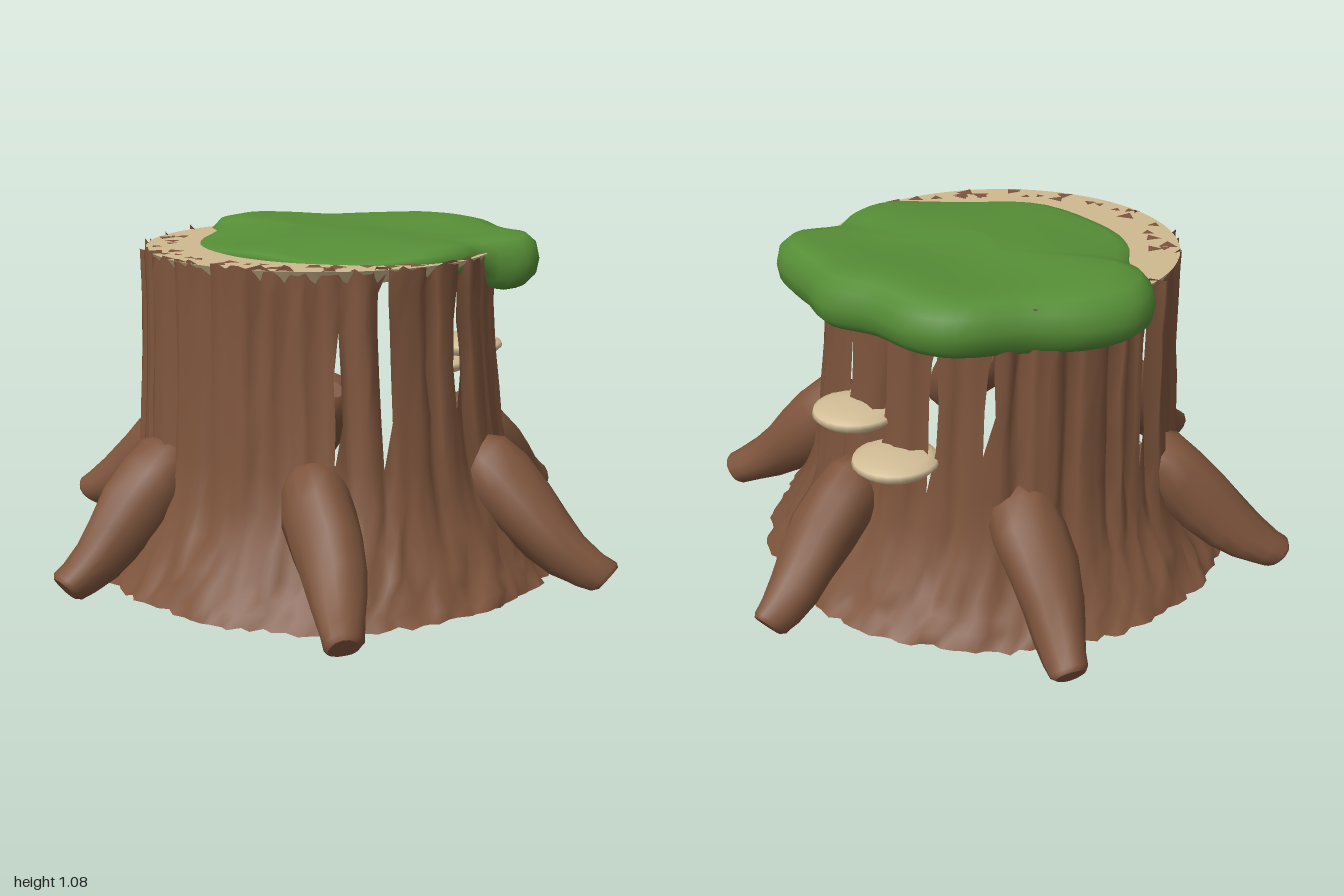
import * as THREE from 'three';

// small seeded generator for natural irregularity
function seeded(s) {
  return () => {
    s = (s * 16807) % 2147483647;
    return s / 2147483647;
  };
}

// skin over closed rings of points; hole(i, j) drops a quad ('all') or one of its triangles
function loft(rings, capStart, capEnd, hole = () => '') {
  const n = rings[0].length, pos = [], index = [];
  rings.forEach(r => r.forEach(p => pos.push(p.x, p.y, p.z)));
  for (let i = 0; i < rings.length - 1; i++) {
    for (let j = 0; j < n; j++) {
      const a = i * n + j, b = i * n + (j + 1) % n, h = hole(i, j);
      if (h !== 'all' && h !== 'lower') index.push(a, b, b + n);
      if (h !== 'all' && h !== 'upper') index.push(a, b + n, a + n);
    }
  }
  const cap = (ring, flip) => {
    const c = new THREE.Vector3();
    ring.forEach(p => c.addScaledVector(p, 1 / n));
    const start = pos.length / 3;
    ring.forEach(p => pos.push(p.x, p.y, p.z));
    pos.push(c.x, c.y, c.z);
    for (let j = 0; j < n; j++) {
      const a = start + j, b = start + (j + 1) % n;
      index.push(start + n, flip ? b : a, flip ? a : b);
    }
  };
  if (capStart) cap(rings[0], true);
  if (capEnd) cap(rings[rings.length - 1], false);
  const g = new THREE.BufferGeometry();
  g.setAttribute('position', new THREE.Float32BufferAttribute(pos, 3));
  g.setIndex(index);
  g.computeVertexNormals();
  return g;
}

export function createModel() {
  const group = new THREE.Group();
  const material = (name, color) => new THREE.MeshStandardMaterial({ name, color });
  const bark = material('bark brown', 0x7d543c);
  const wood = material('cut wood', 0xcfb98f);
  const moss = material('moss green', 0x568e36);
  const fungus = material('fungus cream', 0xd2bd96);
  const add = (name, geometry, mat) => {
    const m = new THREE.Mesh(geometry, mat);
    m.name = name;
    group.add(m);
    return m;
  };
  const rand = seeded(71);
  const { lerp, smoothstep } = THREE.MathUtils;

  // bark strips of uneven width parted by grooves
  const N = 144;
  const ridge = [];
  while (ridge.length < N) {
    const height = lerp(-0.004, 0.022, rand()), width = 3 + Math.floor(rand() * 5);
    for (let k = 0; k < width && ridge.length < N; k++) {
      ridge.push(k === 0 ? -0.02 : height + (rand() - 0.5) * 0.008);
    }
  }

  // flared trunk with tapered splits
  const profile = [[0.77, 0.015], [0.745, 0.05], [0.715, 0.09], [0.685, 0.14], [0.64, 0.22], [0.605, 0.32],
    [0.585, 0.44], [0.572, 0.58], [0.562, 0.72], [0.556, 0.86], [0.556, 0.96], [0.556, 1.035]];
  const trunkRings = profile.map(([r, y], i) => Array.from({ length: N }, (_, j) => {
    const rough = (rand() - 0.5) * (i < 5 ? 0.03 : 0.006);
    const a = (j + (rand() - 0.5) * 0.5) / N * Math.PI * 2;
    const R = r + ridge[j] * smoothstep(y, 0.12, 0.5) + rough;
    const shift = -0.02 * smoothstep(y, 0.1, 1);
    const jag = (rand() - 0.5) * (i === profile.length - 1 ? 0.03 : 0.015);
    return new THREE.Vector3(Math.sin(a) * R + shift, Math.max(y + jag, 0.01), Math.cos(a) * R + shift);
  }));
  // splits: angle, first row, last row
  const splits = [[0.1, 6, 8], [0.37, 6, 10], [-1.1, 7, 10], [0.84, 7, 9], [1.33, 6, 10],
    [2.06, 7, 9], [2.35, 7, 9], [2.62, 6, 9], [2.95, 7, 9], [-2.4, 6, 9], [-1.75, 7, 9]]
    .map(([a, lo, hi]) => [Math.floor((a / (Math.PI * 2) + 1) % 1 * N), lo, hi]);
  const split = (i, j) => {
    const s = splits.find(([c, lo, hi]) => c === j && i >= lo && i <= hi);
    if (!s) return '';
    return i === s[1] ? 'upper' : i === s[2] ? 'lower' : 'all';
  };
  add('trunk', loft(trunkRings, true, false, split), bark);

  // cut slab with scattered bark chips
  const cut = add('cutSurface', new THREE.CylinderGeometry(0.56, 0.535, 0.04, 72), wood);
  cut.position.set(-0.02, 1.014, -0.02);
  for (let k = 0; k < 44; k++) {
    const a = lerp(-1.9, 1.2, rand()), r = lerp(0.47, 0.545, rand());
    const chip = add('barkChip', new THREE.CircleGeometry(0.014 + rand() * 0.022, 3).rotateX(-Math.PI / 2), bark);
    chip.rotation.y = rand() * 6;
    chip.position.set(Math.sin(a) * r - 0.02, 1.038, Math.cos(a) * r - 0.02);
  }

  // moss cushion lying on the cut and drooping over the far rim
  const outline = new THREE.CatmullRomCurve3([[0.1, 0.43], [0.3, 0.4], [0.43, 0.3], [0.5, 0.18],
    [0.65, 0.11], [0.685, 0], [0.61, -0.19], [0.56, -0.35], [0.43, -0.46], [0.33, -0.57], [0.2, -0.63],
    [0, -0.615], [-0.2, -0.62], [-0.35, -0.56], [-0.42, -0.42], [-0.38, -0.28], [-0.42, -0.1],
    [-0.4, 0.07], [-0.28, 0.25], [-0.1, 0.38]].map(([x, z]) => new THREE.Vector3(x, 0, z)), true)
    .getPoints(72).slice(0, -1);
  // scale, height on the cut, height where it overhangs
  const layers = [[0.3, 0.98, 0.98], [0.82, 0.98, 0.95], [0.93, 0.995, 0.905], [0.985, 1.012, 0.935],
    [1, 1.03, 0.98], [0.98, 1.045, 1.03], [0.92, 1.055, 1.062], [0.8, 1.062, 1.074],
    [0.6, 1.068, 1.074], [0.4, 1.068, 1.07], [0.2, 1.066, 1.066]];
  add('moss', loft(layers.map(([s, onCut, over]) => outline.map(p => {
    const x = 0.13 + (p.x - 0.13) * s, z = -0.1 + (p.z + 0.1) * s;
    const droop = smoothstep(Math.hypot(p.x, p.z), 0.46, 0.6);
    const wave = 0.013 * Math.sin(x * 9 + 1) * Math.cos(z * 8) + 0.012 * x;
    return new THREE.Vector3(x, lerp(onCut, over, droop) + wave, z);
  })), true, true), moss);

  // spreading roots: start x, z and tip x, z
  const roots = [[-0.03, 0.52, 0.085, 0.96], [0.48, 0.25, 0.88, 0.415], [0.47, -0.3, 0.79, -0.57],
    [0.01, -0.54, -0.085, -0.965], [-0.47, -0.31, -0.88, -0.41], [-0.48, 0.27, -0.785, 0.535]];
  const sections = [[-0.1, 0.425, 0.03], [-0.05, 0.415, 0.075], [0.05, 0.385, 0.103], [0.2, 0.325, 0.112],
    [0.38, 0.25, 0.108], [0.56, 0.18, 0.094], [0.72, 0.125, 0.08], [0.88, 0.085, 0.066], [0.98, 0.066, 0.058],
    [1.01, 0.06, 0.045]];
  roots.forEach(([x0, z0, x1, z1], k) => {
    const dir = new THREE.Vector3(x1 - x0, 0, z1 - z0).normalize();
    const side = new THREE.Vector3(0, 1, 0).cross(dir);
    const along = dir.clone().multiplyScalar(0.8).setY(-0.6);
    const up = along.clone().cross(side);
    const rings = sections.map(([t, y, r], i) => {
      const bend = 0.018 * Math.sin(t * 4 + k * 2) * smoothstep(t, 0.1, 0.5);
      const c = new THREE.Vector3(lerp(x0, x1, t), y, lerp(z0, z1, t)).addScaledVector(side, bend);
      return Array.from({ length: 14 }, (_, j) => {
        const a = j / 14 * Math.PI * 2;
        const R = r * (1 + 0.07 * Math.sin(3 * a + i + k));
        const p = c.clone().addScaledVector(side, Math.cos(a) * R).addScaledVector(up, Math.sin(a) * R);
        p.y = Math.max(p.y, 0.004);
        return p;
      });
    });
    add('root', loft(rings, true, true), bark);
  });

  // shelf fungi on the side
  const shelf = [[0, -0.024], [0.08, -0.022], [0.115, -0.014], [0.133, 0.004], [0.128, 0.018],
    [0.1, 0.029], [0.05, 0.036], [0, 0.038]].map(([x, y]) => new THREE.Vector2(x, y));
  [[0.475, 0.632, -0.335], [0.37, 0.533, -0.485]].forEach(([x, y, z]) => {
    const f = add('shelfFungus', new THREE.LatheGeometry(shelf, 24), fungus);
    f.position.set(x, y, z);
  });

  return group;
}
